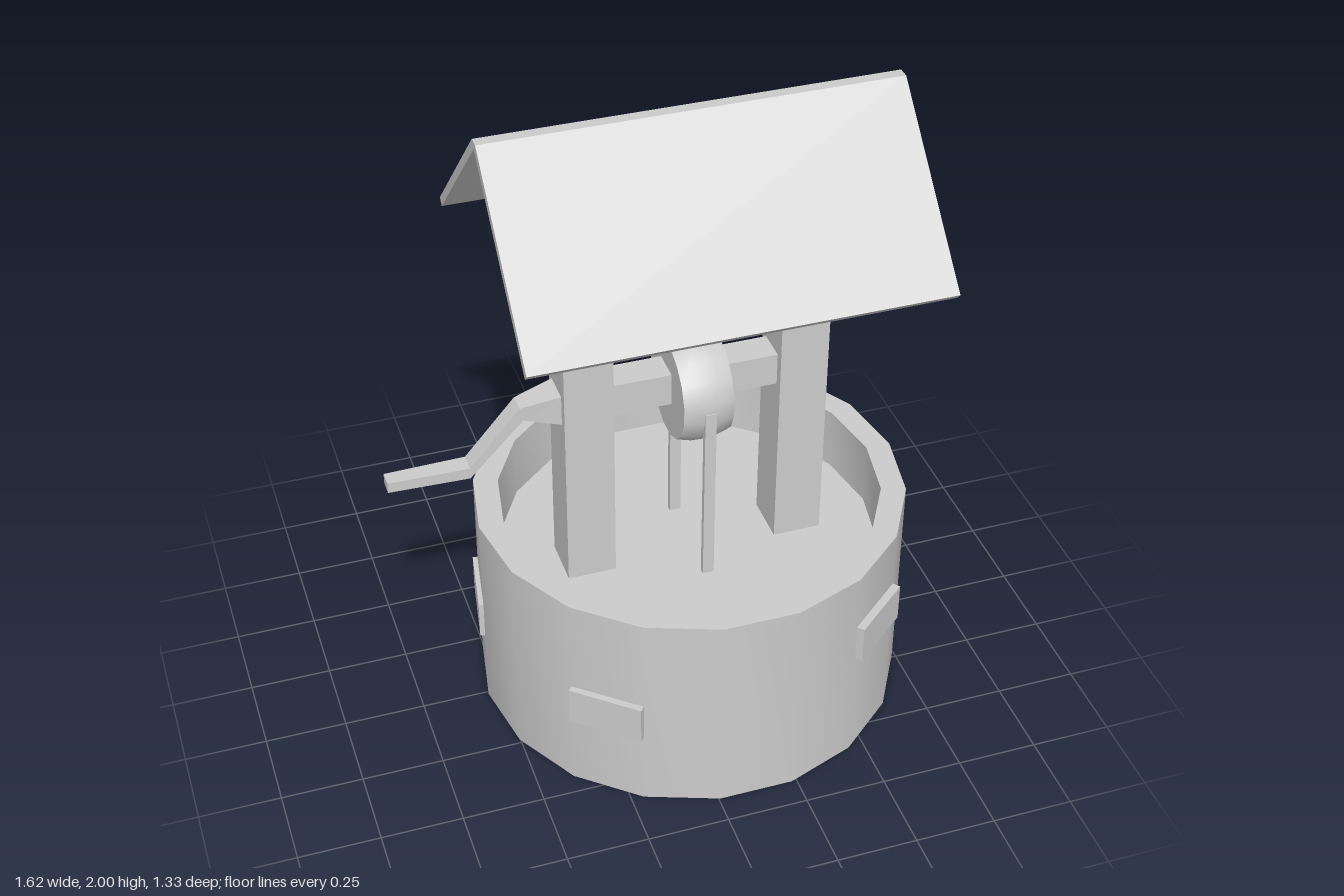
import * as THREE from 'three';
import { toCreasedNormals } from 'three/addons/utils/BufferGeometryUtils.js';

const CX = 0.12, CZ = 0.01; // axis of the well
const SIDES = 18, R = 0.6625, INNER = 0.586, FLOOR = 0.48, RIM = 0.685;

export function createModel() {
  const model = new THREE.Group();
  const material = new THREE.MeshStandardMaterial({ color: 0xcccccc });

  const add = (name, geometry, x = 0, y = 0, z = 0) => {
    const mesh = new THREE.Mesh(geometry, material);
    mesh.name = name;
    mesh.position.set(x, y, z);
    model.add(mesh);
    return mesh;
  };
  // Box given by its lowest and highest corner
  const block = (name, [x0, y0, z0], [x1, y1, z1]) =>
    add(name, new THREE.BoxGeometry(x1 - x0, y1 - y0, z1 - z0), (x0 + x1) / 2, (y0 + y1) / 2, (z0 + z1) / 2);
  const vectors = (points) => points.map(([a, b]) => new THREE.Vector2(a, b));
  const lathe = (points, sides, start = 0) =>
    toCreasedNormals(new THREE.LatheGeometry(vectors(points), sides, start), 0.55);
  const extrude = (points, depth) =>
    new THREE.ExtrudeGeometry(new THREE.Shape(vectors(points)), { depth, bevelEnabled: false });
  // Symmetric outline in (z, y), given as its half, extruded along x
  const gable = (name, half, x0, x1) => {
    const outline = [...half, ...half.map(([z, y]) => [-z, y]).reverse()];
    const geometry = extrude(outline, x1 - x0);
    geometry.rotateY(Math.PI / 2);
    return add(name, geometry, x0, 0, CZ);
  };

  // Round wall with its floor
  add('wellWall', lathe([[0, 0], [R, 0], [R, RIM], [INNER, RIM], [INNER, FLOOR], [0, FLOOR]],
    SIDES, Math.PI / 2), CX, 0, CZ);

  // Bricks standing out from single facets: angle, lower edge, projection
  const apothem = R * Math.cos(Math.PI / SIDES);
  const width = 2 * R * Math.sin(Math.PI / SIDES);
  const bricks = [
    [50, 0.375, 0.025], [130, 0.25, 0.02], [-10, 0.375, 0.027], [-50, 0.125, 0.025],
    [-70, 0.5, 0.025], [-130, 0.375, 0.012], [-170, 0.25, 0.015],
  ];
  for (const [degrees, y, out] of bricks) {
    const a = THREE.MathUtils.degToRad(degrees);
    const d = apothem + out / 2 - 0.01;
    const brick = add('brick', new THREE.BoxGeometry(out + 0.02, 0.125, width),
      CX + d * Math.cos(a), y + 0.0625, CZ + d * Math.sin(a));
    brick.rotation.y = -a;
  }

  // Posts, each with a forked roof bracket
  const fork = [[0.078, 1.45], [0.3, 1.68], [0.148, 1.832], [0.001, 1.685]];
  for (const [side, x] of [['right', -0.29], ['left', 0.375]]) {
    block(side + 'Post', [x, FLOOR, CZ - 0.078], [x + 0.15, 1.45, CZ + 0.078]);
    gable(side + 'RoofBracket', fork, x, x + 0.15);
  }
  block('topBeam', [-0.14, 1.3, CZ - 0.078], [0.375, 1.45, CZ + 0.078]);
  block('axle', [-0.14, 1.045, CZ - 0.05], [0.375, 1.15, CZ + 0.05]);

  // Roof
  gable('roof', [[0.018, 2], [0.47, 1.555], [0.452, 1.535], [0.001, 1.978]], -0.497, 0.737);

  // Bulging rope drum
  const drum = lathe([[0, -0.077], [0.157, -0.077], [0.168, -0.035], [0.17, 0],
    [0.168, 0.035], [0.157, 0.077], [0, 0.077]], 16, Math.PI / 16);
  drum.rotateZ(Math.PI / 2);
  add('drum', drum, 0.122, 1.08, 0.022);

  // Ropes hanging on both sides of the drum
  block('frontRope', [0.105, FLOOR, 0.174], [0.14, 1.08, 0.192]);
  block('backRope', [0.105, FLOOR, -0.145], [0.14, 1.08, -0.126]);

  // Crank, narrowing towards the handle
  const crank = extrude([[-0.285, 1.045], [-0.285, 1.147], [-0.41, 1.118], [-0.565, 0.937],
    [-0.81, 0.937], [-0.81, 0.903], [-0.565, 0.901], [-0.4, 1.074]], 1);
  const p = crank.attributes.position;
  for (let i = 0; i < p.count; i++) {
    const x = p.getX(i);
    const depth = x > -0.3 ? 0.1 : x > -0.6 ? 0.06 : 0.048;
    p.setZ(i, (p.getZ(i) - 0.5) * depth);
  }
  crank.computeVertexNormals();
  add('crank', crank, 0, 0, CZ);

  return model;
}
